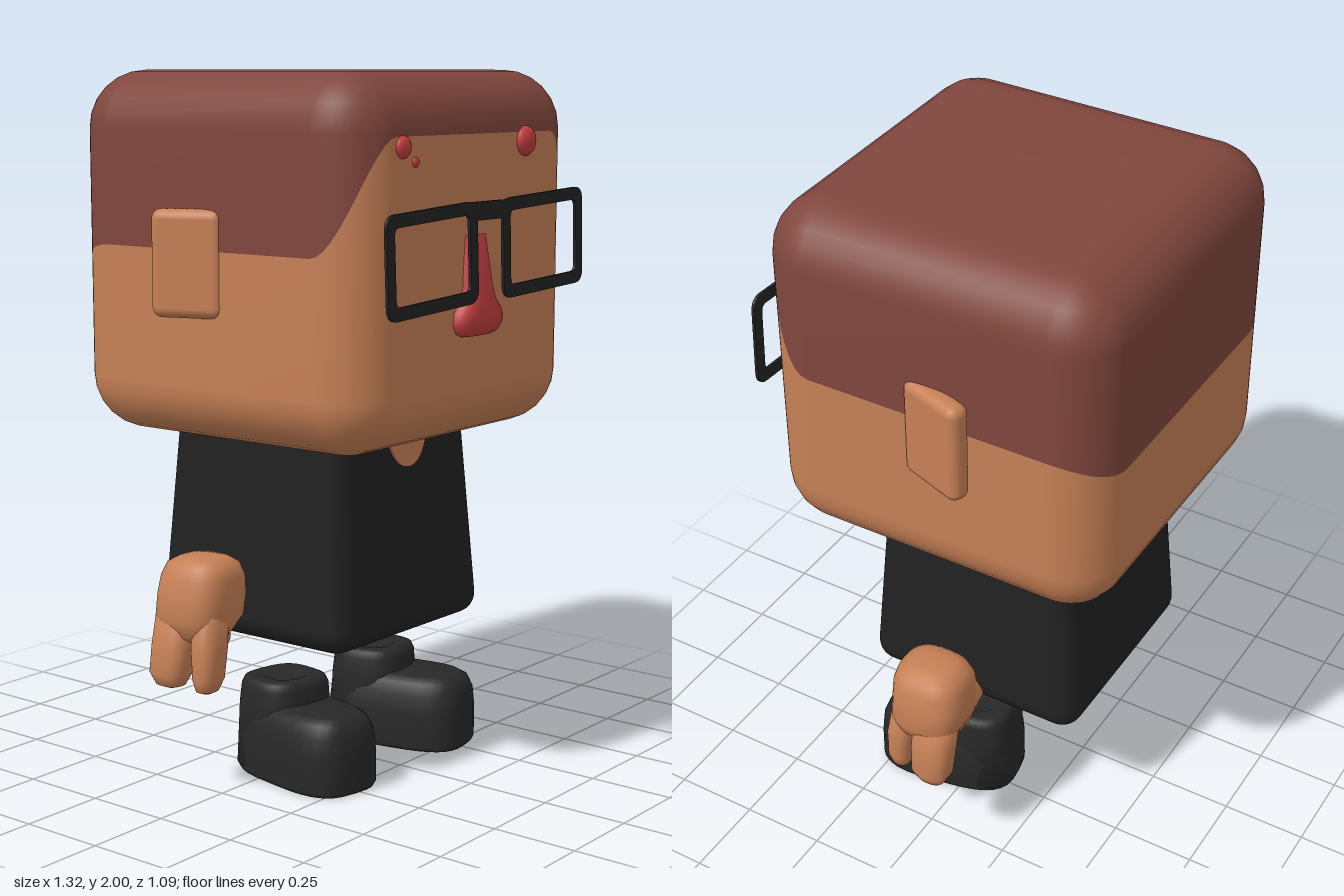
import * as THREE from 'three';
import { RoundedBoxGeometry } from 'three/addons/geometries/RoundedBoxGeometry.js';

const paint = (name, color) => {
  const m = new THREE.MeshStandardMaterial({ color });
  m.name = name;
  return m;
};

// Skins rows of points (bottom to top), each row a closed ring
function skinRows(rows) {
  const n = rows[0].length, index = [];
  for (let r = 0; r < rows.length - 1; r++) {
    for (let i = 0; i < n; i++) {
      const a = r * n + i, b = r * n + (i + 1) % n;
      index.push(a, a + n, b, b, a + n, b + n);
    }
  }
  const geo = new THREE.BufferGeometry();
  geo.setAttribute('position', new THREE.Float32BufferAttribute(rows.flat(2), 3));
  geo.setIndex(index);
  geo.computeVertexNormals();
  return geo;
}

// Capped loft of superellipse sections [y, cx, cz, rx, rz], bottom to top
function loft(sections, power = 2.5, n = 32) {
  const bend = (v) => Math.sign(v) * Math.abs(v) ** (2 / power);
  const ring = ([y, cx, cz, rx, rz]) => Array.from({ length: n }, (_, i) => {
    const a = (i / n) * Math.PI * 2;
    return [cx + rx * bend(Math.cos(a)), y, cz + rz * bend(Math.sin(a))];
  });
  const cap = ([y, cx, cz]) => ring([y, cx, cz, 0, 0]);
  return skinRows([cap(sections[0]), ...sections.map(ring), cap(sections.at(-1))]);
}

// Rounded cube whose surface is divided at the hairline
function headGeometry() {
  const R = 0.16, hx = 0.36, hz = 0.36, cz = -0.025, bottom = 0.985, top = 2, N = 6;
  const rim = [];
  for (let k = 0; k < 4; k++) {
    const sx = k === 0 || k === 3 ? 1 : -1, sz = k < 2 ? 1 : -1;
    for (let i = 0; i <= 12; i++) {
      const a = (k + i / 12) * Math.PI / 2;
      rim.push({ x: sx * hx, z: sz * hz, c: Math.cos(a), s: Math.sin(a) });
    }
  }
  const row = (rho, y) => rim.map((p) => [p.x + p.c * rho, y, cz + p.z + p.s * rho]);
  const centre = (y) => rim.map(() => [0, y, cz]);
  const rows = [centre(bottom)];
  for (let i = 0; i <= N; i++) {
    const t = (i / N - 1) * Math.PI / 2;
    rows.push(row(R * Math.cos(t), bottom + R + R * Math.sin(t)));
  }
  // hairline: high on the forehead, level at the sides, low at the nape
  rows.push(row(R, 0).map(([x, , z], i) => {
    const s = rim[i].s;
    return [x, 1.52 + (s > 0 ? 0.31 : -0.06) * s * s, z];
  }));
  const split = (rows.length - 1) * rim.length * 6;
  for (let i = 0; i <= N; i++) {
    const t = (i / N) * Math.PI / 2;
    rows.push(row(R * Math.cos(t), top - R + R * Math.sin(t)));
  }
  rows.push(centre(top));
  const geo = skinRows(rows);
  geo.addGroup(0, split, 0);
  geo.addGroup(split, geo.index.count - split, 1);
  return geo;
}

function roundRect(path, w, h, r) {
  const x = w / 2, y = h / 2;
  path.moveTo(-x + r, -y).lineTo(x - r, -y).quadraticCurveTo(x, -y, x, -y + r);
  path.lineTo(x, y - r).quadraticCurveTo(x, y, x - r, y);
  path.lineTo(-x + r, y).quadraticCurveTo(-x, y, -x, y - r);
  path.lineTo(-x, -y + r).quadraticCurveTo(-x, -y, -x + r, -y);
  return path;
}

export function createModel() {
  const model = new THREE.Group();
  const skin = paint('skin', 0xc68056);
  const hair = paint('hair', 0x80463d);
  const red = paint('red', 0xc23e3e);
  const shirt = paint('shirt', 0x222222);
  const shoe = paint('shoe', 0x282828);
  const frame = paint('frame', 0x232323);

  const add = (name, geo, mat, pos = [0, 0, 0], parent = model) => {
    const mesh = new THREE.Mesh(geo, mat);
    mesh.name = name;
    mesh.position.set(...pos);
    parent.add(mesh);
    return mesh;
  };

  add('head', headGeometry(), [skin, hair]);

  // Torso, narrowing towards the neck
  const torso = new RoundedBoxGeometry(0.7, 0.64, 0.7, 5, 0.07);
  const p = torso.attributes.position;
  for (let i = 0; i < p.count; i++) {
    const k = 1 - 0.2 * (p.getY(i) + 0.32);
    p.setX(i, p.getX(i) * k);
    p.setZ(i, p.getZ(i) * k);
  }
  add('torso', torso, shirt, [0, 0.72, -0.045]);

  // Bare skin at the neckline
  const neck = new THREE.Shape();
  neck.moveTo(-0.095, 0.11).bezierCurveTo(-0.08, 0.03, -0.04, 0, 0, 0);
  neck.bezierCurveTo(0.04, 0, 0.08, 0.03, 0.095, 0.11);
  add('neckline', new THREE.ExtrudeGeometry(neck, { depth: 0.008, bevelEnabled: false }),
    skin, [0, 0.89, 0.268]).rotation.x = -0.07;

  // Nose: slim bridge, wide tip
  add('nose', loft([
    [1.285, 0, 0.47, 0.07, 0.045], [1.295, 0, 0.47, 0.092, 0.06],
    [1.32, 0, 0.47, 0.105, 0.072], [1.35, 0, 0.47, 0.1, 0.072],
    [1.385, 0, 0.47, 0.07, 0.066], [1.42, 0, 0.47, 0.06, 0.06],
    [1.56, 0, 0.47, 0.055, 0.032],
  ], 3.5), red);

  // Forehead spots
  for (const [x, y, r] of [[-0.335, 1.803, 0.03], [0.237, 1.805, 0.042], [-0.28, 1.763, 0.014]]) {
    add('spot', new THREE.SphereGeometry(r, 20, 14), red, [x, y, 0.495]).scale.z = 0.6;
  }

  // Flat, slightly crooked glasses
  const glasses = new THREE.Group();
  glasses.name = 'glasses';
  model.add(glasses);
  for (const [x, y, tilt] of [[-0.262, 1.508, 0.05], [0.265, 1.526, 0.043]]) {
    const rim = roundRect(new THREE.Shape(), 0.405, 0.275, 0.04);
    rim.holes.push(roundRect(new THREE.Path(), 0.335, 0.205, 0.02));
    const geo = new THREE.ExtrudeGeometry(rim, { depth: 0.009, bevelEnabled: false, curveSegments: 6 });
    add('lensFrame', geo, frame, [x, y, 0.536], glasses).rotation.z = tilt;
  }
  add('bridge', new THREE.BoxGeometry(0.18, 0.05, 0.009), frame, [0, 1.627, 0.5405], glasses);

  for (const s of [1, -1]) {
    const side = s > 0 ? 'left' : 'right';

    // Ear flaring out towards the back
    add(side + 'Ear', new RoundedBoxGeometry(0.065, 0.295, 0.21, 4, 0.028), skin,
      [s * 0.528, 1.485, -0.075]).rotation.y = -s * 0.33;

    // Hand: palm, thumb and two fingers
    const hand = new THREE.Group();
    hand.name = side + 'Hand';
    model.add(hand);
    const digit = (name, rows, power) =>
      add(name, loft(rows.map(([y, x, ...rest]) => [y, s * x, ...rest]), power), skin, [0, 0, 0], hand);
    digit('palm', [
      [0.45, 0.565, -0.04, 0.03, 0.05], [0.47, 0.555, -0.04, 0.07, 0.09],
      [0.52, 0.535, -0.045, 0.11, 0.11], [0.58, 0.525, -0.045, 0.11, 0.112],
      [0.63, 0.523, -0.042, 0.102, 0.108], [0.665, 0.523, -0.04, 0.085, 0.095],
      [0.681, 0.523, -0.04, 0.06, 0.065], [0.685, 0.523, -0.04, 0.03, 0.035],
    ], 2.8);
    digit('thumb', [
      [0.39, 0.465, -0.06, 0.012, 0.015], [0.398, 0.463, -0.06, 0.028, 0.035],
      [0.43, 0.458, -0.065, 0.04, 0.048], [0.48, 0.457, -0.075, 0.048, 0.055],
      [0.55, 0.47, -0.09, 0.058, 0.068], [0.62, 0.49, -0.09, 0.045, 0.055],
    ]);
    digit('frontFinger', [
      [0.32, 0.59, 0.03, 0.015, 0.012], [0.327, 0.59, 0.03, 0.033, 0.026],
      [0.36, 0.587, 0.032, 0.046, 0.037], [0.44, 0.58, 0.03, 0.052, 0.042],
      [0.55, 0.56, 0.015, 0.055, 0.045],
    ]);
    digit('backFinger', [
      [0.323, 0.612, -0.085, 0.015, 0.018], [0.331, 0.612, -0.085, 0.034, 0.042],
      [0.365, 0.612, -0.084, 0.05, 0.06], [0.44, 0.598, -0.082, 0.054, 0.064],
      [0.55, 0.57, -0.08, 0.06, 0.065],
    ]);

    // Boot, toes turned out
    const boot = new THREE.Group();
    boot.name = side + 'Boot';
    boot.position.set(s * 0.23, 0, 0.085);
    boot.rotation.y = s * 0.18;
    model.add(boot);
    add('foot', loft([
      [0, 0, 0, 0.128, 0.212], [0.012, 0, 0, 0.134, 0.218], [0.11, 0, 0, 0.134, 0.218],
      [0.165, 0, 0, 0.126, 0.214], [0.2, 0, 0, 0.11, 0.2], [0.216, 0, 0, 0.085, 0.175],
    ], 3.2), shoe, [0, 0, 0], boot);
    add('ankle', loft([
      [0.02, 0, -0.1, 0.128, 0.118], [0.2, 0, -0.096, 0.122, 0.114],
      [0.255, 0, -0.094, 0.117, 0.11], [0.274, 0, -0.094, 0.108, 0.102],
      [0.28, 0, -0.094, 0.094, 0.088], [0.278, 0, -0.094, 0.06, 0.056],
      [0.27, 0, -0.094, 0.05, 0.047],
    ], 2.8), shoe, [0, 0, 0], boot);
  }
  return model;
}
